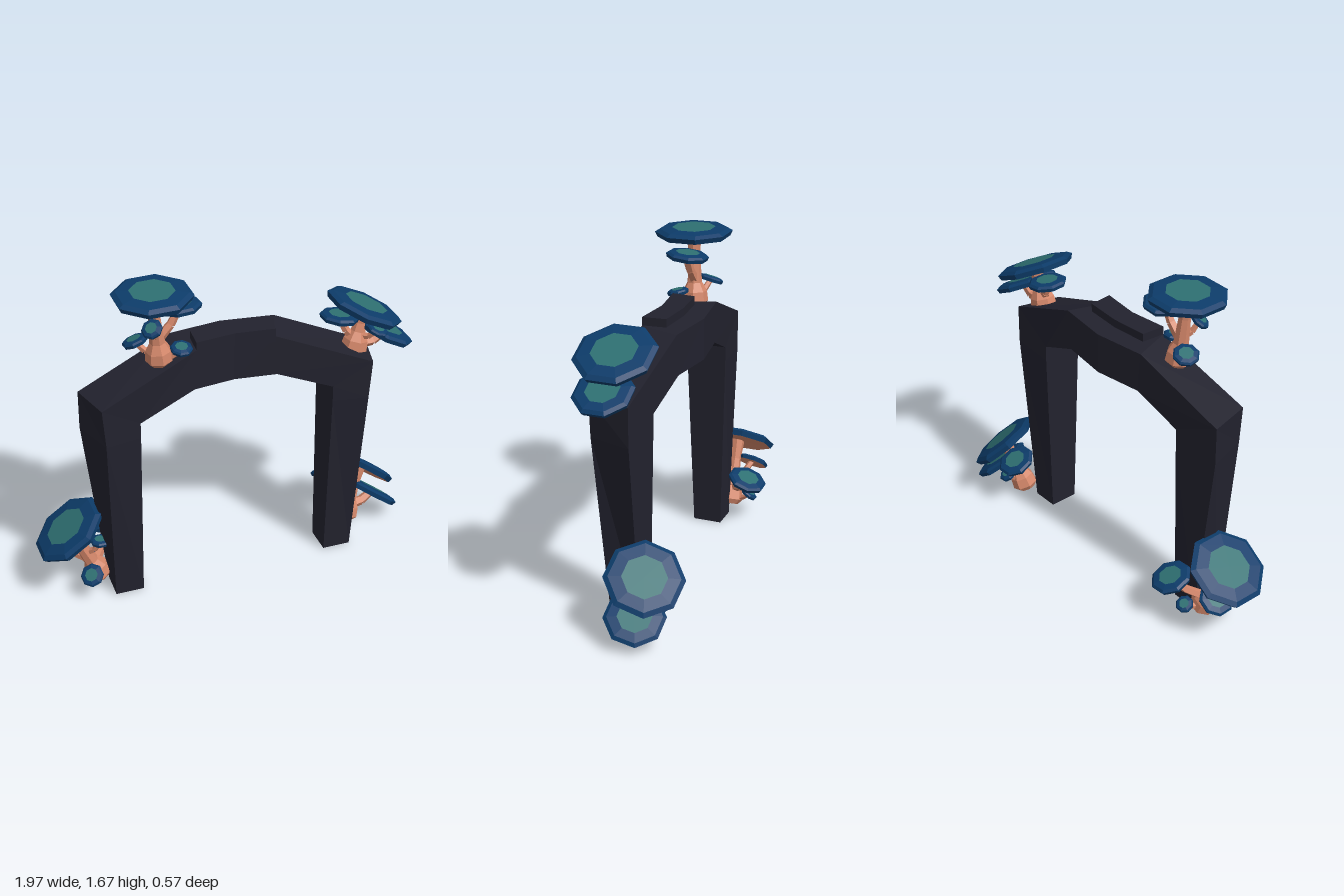
import * as THREE from 'three';

const mat = (name, color) => Object.assign(new THREE.MeshStandardMaterial({ color }), { name });
const V = (a) => new THREE.Vector3(...a);
const UP = new THREE.Vector3(0, 1, 0);

// Split faces so every facet is flat
function faceted(geo) {
  const g = geo.index ? geo.toNonIndexed() : geo;
  g.computeVertexNormals();
  return g;
}

function add(parent, name, geo, material) {
  const m = new THREE.Mesh(faceted(geo), material);
  m.name = name;
  parent.add(m);
  return m;
}

const lathe = (pts, sides) => new THREE.LatheGeometry(pts.map((p) => new THREE.Vector2(...p)), sides);

// Skin four-cornered sections (outer front, outer back, inner back, inner front)
function loft(sections) {
  const pos = [];
  const quad = (a, b, c, d) => pos.push(...a, ...b, ...c, ...a, ...c, ...d);
  for (let i = 0; i < sections.length - 1; i++) {
    const s = sections[i], t = sections[i + 1];
    for (let k = 0; k < 4; k++) quad(s[k], t[k], t[(k + 1) % 4], s[(k + 1) % 4]);
  }
  quad(...sections[0]);
  quad(...[...sections[sections.length - 1]].reverse());
  const g = new THREE.BufferGeometry();
  g.setAttribute('position', new THREE.Float32BufferAttribute(pos, 3));
  return g;
}

// Half of the sections, completed by mirroring in x
function mirrored(half, middle) {
  const left = half.map((s) => s.map(([x, y, z]) => [-x, y, z]));
  return [...left, middle, ...[...half].reverse()];
}

export function createModel() {
  const rock = mat('dark rock', 0x22222e);
  const stemMat = mat('coral stem', 0xd4876a);
  const rimMat = mat('blue cap', 0x0d3c6a);
  const crownMat = mat('teal crown', 0x2e7072);
  const model = new THREE.Group();
  model.name = 'mushroomArch';

  // Stone arch, bowed in plan
  add(model, 'arch', loft(mirrored([
    [[0.64, 0, 0.13], [0.635, 0, -0.02], [0.495, 0, -0.02], [0.495, 0, 0.13]],
    [[0.675, 0.93, 0.2], [0.745, 0.93, -0.02], [0.495, 0.93, -0.04], [0.495, 0.93, 0.17]],
    [[0.69, 1.13, 0.2], [0.745, 1.13, -0.02], [0.495, 1.01, -0.04], [0.495, 1.01, 0.17]],
    [[0.2, 1.33, 0.135], [0.27, 1.33, -0.07], [0.25, 1.12, -0.07], [0.21, 1.12, 0.135]],
  ], [[0, 1.33, 0.11], [0, 1.33, -0.105], [0, 1.12, -0.105], [0, 1.12, 0.11]])), rock);

  // Raised slab on the crown
  add(model, 'topSlab', loft(mirrored([
    [[0.2, 1.372, 0.135], [0.19, 1.372, 0.015], [0.19, 1.3, 0.015], [0.2, 1.3, 0.135]],
  ], [[0, 1.372, 0.112], [0, 1.372, 0], [0, 1.3, 0], [0, 1.3, 0.112]])), rock);

  // Eight-sided cap; p is the centre of its top
  function cap(parent, p, n, r) {
    const g = new THREE.Group();
    g.name = 'cap';
    const h = 0.018 + r * 0.15;
    add(g, 'capUnderside', lathe([[0, -h * 0.85], [r * 0.94, -h]], 8), stemMat);
    add(g, 'capRim', lathe([[r * 0.94, -h], [r, -h * 0.45], [r * 0.88, -h * 0.15], [r * 0.56, 0]], 8), rimMat);
    add(g, 'capCrown', lathe([[r * 0.56, 0], [0, 0]], 8), crownMat);
    g.quaternion.setFromUnitVectors(UP, V(n).normalize());
    g.rotateY(Math.PI / 8);
    g.position.copy(V(p));
    parent.add(g);
  }

  // Stem between two points with a profile depending on its length
  function stem(parent, name, a, b, profile, sides) {
    const d = b.clone().sub(a), L = d.length();
    const m = add(parent, name, lathe(profile(L), sides), stemMat);
    m.position.copy(a);
    m.quaternion.setFromUnitVectors(UP, d.normalize());
  }

  const trunk = (L) => [[0, 0], [0.045, 0], [0.068, 0.025], [0.062, 0.075], [0.038, 0.12], [0.03, L * 0.7], [0.038, L]];

  // The first cap crowns the trunk; the others sit on branches leaving at height t
  function cluster(name, base, caps) {
    const g = new THREE.Group();
    g.name = name;
    const foot = V(base);
    const seat = ([p, n, r]) => V(p).addScaledVector(V(n).normalize(), -0.015 - r * 0.1);
    const top = seat(caps[0]);
    stem(g, 'trunk', foot, top, trunk, 7);
    caps.forEach((c, i) => {
      const [p, n, r, t] = c;
      cap(g, p, n, r);
      if (!i) return;
      const w = 0.01 + r * 0.11;
      const from = foot.clone().lerp(top, t), end = seat(c);
      const elbow = from.clone().lerp(end, 0.6);
      elbow.y -= 0.02;
      stem(g, 'branch', from, elbow, (L) => [[w * 1.2, 0], [w, L]], 5);
      stem(g, 'branchTip', elbow, end, (L) => [[w, 0], [w * 0.8, L]], 5);
    });
    model.add(g);
  }

  cluster('upperRightMushrooms', [-0.365, 1.265, 0.08], [
    [[-0.4, 1.665, 0.1], [-0.02, 1, 0.02], 0.195],
    [[-0.265, 1.572, 0.08], [-0.06, 1, -0.1], 0.108, 0.35],
    [[-0.43, 1.51, 0.165], [-0.45, 0.75, 0.4], 0.052, 0.4],
    [[-0.275, 1.372, 0.14], [0, 0.95, 0.2], 0.055, 0.1],
    [[-0.475, 1.395, 0.03], [-0.3, 0.9, -0.2], 0.065, 0.15],
  ]);

  cluster('upperLeftMushrooms', [0.635, 1.125, 0.07], [
    [[0.705, 1.385, 0.06], [0.42, 0.91, 0], 0.2],
    [[0.82, 1.235, 0.07], [0.45, 0.89, 0], 0.148, 0.2],
    [[0.575, 1.34, 0.04], [0.14, 0.98, -0.05], 0.1, 0.3],
    [[0.735, 1.285, 0.15], [0.3, 0.9, 0.15], 0.055, 0.4],
  ]);

  cluster('lowerRightMushrooms', [-0.675, 0.035, -0.01], [
    [[-0.85, 0.385, 0], [-0.57, 0.82, 0], 0.2],
    [[-0.59, 0.25, -0.145], [0.1, 0.9, -0.35], 0.105, 0.25],
    [[-0.86, 0.245, -0.08], [-0.6, 0.76, -0.1], 0.09, 0.35],
    [[-0.765, 0.155, 0.13], [-0.45, 0.65, 0.5], 0.06, 0.25],
    [[-0.69, 0.305, 0.05], [0.02, 1, 0], 0.05, 0.5],
    [[-0.68, 0.12, -0.13], [-0.2, 0.8, -0.5], 0.045, 0.15],
  ]);

  cluster('lowerLeftMushrooms', [0.685, 0.03, -0.05], [
    [[0.81, 0.33, -0.12], [0.58, 0.75, -0.33], 0.195],
    [[0.875, 0.155, -0.095], [0.58, 0.78, -0.25], 0.15, 0.25],
    [[0.64, 0.29, -0.16], [0.05, 0.88, -0.45], 0.1, 0.4],
    [[0.72, 0.16, -0.16], [0.2, 0.8, -0.5], 0.05, 0.25],
  ]);

  return model;
}
